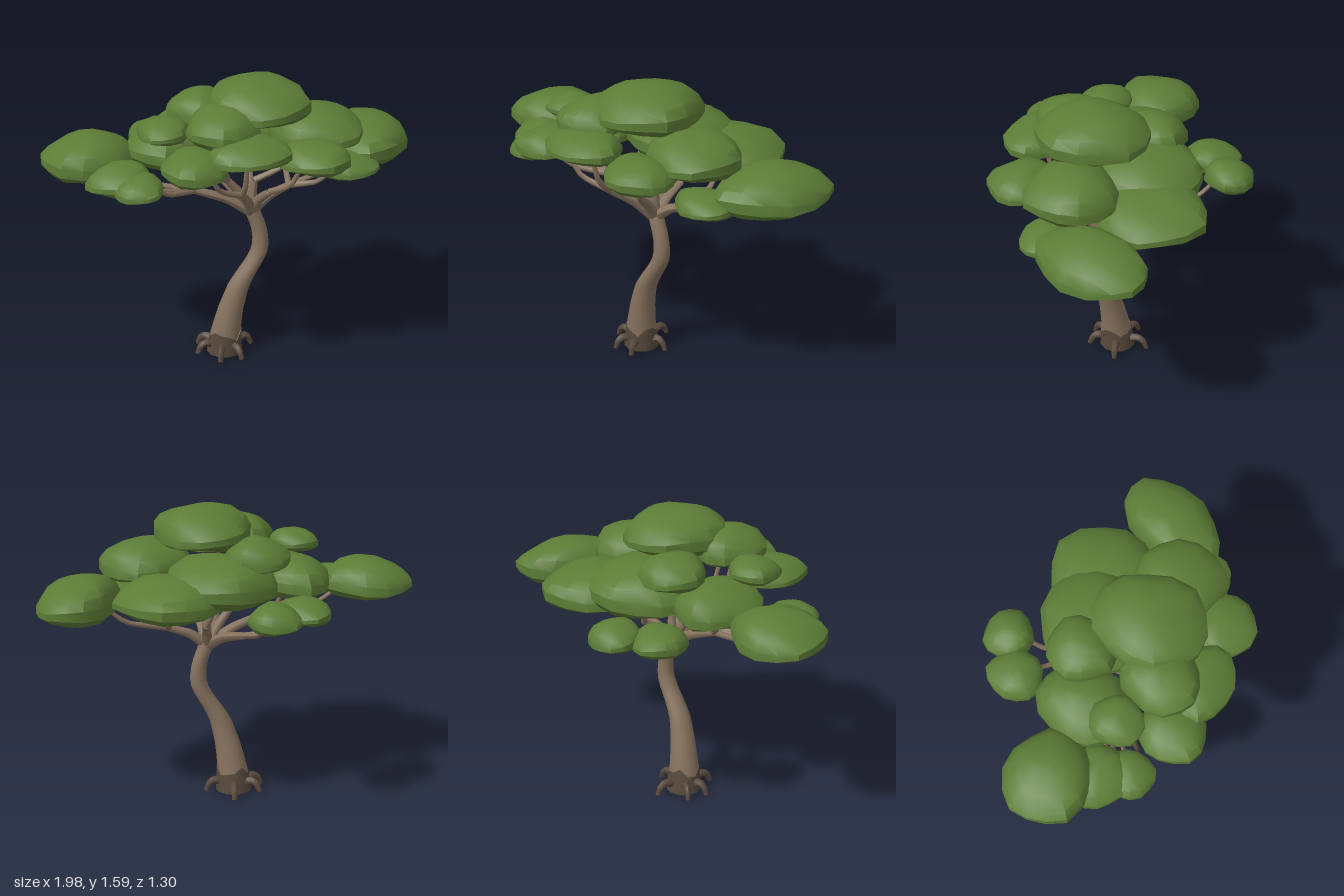
import * as THREE from 'three';
import { mergeVertices, toCreasedNormals } from 'three/addons/utils/BufferGeometryUtils.js';

const leafGreen = new THREE.MeshStandardMaterial({ color: 0x5c7c36 });
const barkBrown = new THREE.MeshStandardMaterial({ color: 0x87735f });
const rootBrown = new THREE.MeshStandardMaterial({ color: 0x57493c });
leafGreen.name = 'leafGreen';
barkBrown.name = 'barkBrown';
rootBrown.name = 'rootBrown';

const V = (x, y, z) => new THREE.Vector3(x, y, z);

// Trunk centre line and its thickness, both by height
const trunkLine = new THREE.CatmullRomCurve3([
  V(-0.05, 0, 0.05), V(-0.04, 0.15, 0.06), V(0.02, 0.4, 0.085),
  V(0.13, 0.6, 0.09), V(0.135, 0.7, 0.09), V(0.075, 0.89, 0.085),
]);
const trunkSamples = trunkLine.getSpacedPoints(120);
function trunkAt(y) {
  return trunkSamples.reduce((a, b) => (Math.abs(b.y - y) < Math.abs(a.y - y) ? b : a));
}
function trunkRadius(y) {
  return 0.042 + 0.053 * Math.pow(Math.max(0, 1 - y / 0.75), 1.5);
}

// Upright cylinder bent along the trunk line; its top edge may be ragged
function trunkPiece(name, height, rows, grow, ragged, material) {
  const g = new THREE.CylinderGeometry(1, 1, 1, 12, rows);
  const p = g.attributes.position;
  for (let i = 0; i < p.count; i++) {
    const x = p.getX(i), z = p.getZ(i), a = Math.atan2(z, x);
    const edge = ragged * (2 * Math.sin(3 * a + 1) + Math.sin(5 * a));
    const y = (p.getY(i) + 0.5) * (height + edge);
    const c = trunkAt(y), r = trunkRadius(y) + grow;
    p.setXYZ(i, c.x + x * r, y, c.z + z * r);
  }
  g.computeVertexNormals();
  const mesh = new THREE.Mesh(toCreasedNormals(g, 0.7), material);
  mesh.name = name;
  return mesh;
}

// Tube that tapers from r0 to r1
function taperedTube(name, points, r0, r1, material) {
  const curve = new THREE.CatmullRomCurve3(points, false, 'catmullrom', 0.25);
  const segs = (points.length - 1) * 4, sides = 7;
  const g = new THREE.TubeGeometry(curve, segs, 1, sides, false);
  const p = g.attributes.position, v = new THREE.Vector3();
  for (let i = 0; i < p.count; i++) {
    const t = Math.floor(i / (sides + 1)) / segs;
    const c = curve.getPointAt(t);
    v.fromBufferAttribute(p, i).sub(c).multiplyScalar(r0 + (r1 - r0) * t).add(c);
    p.setXYZ(i, v.x, v.y, v.z);
  }
  g.computeVertexNormals();
  const mesh = new THREE.Mesh(g, material);
  mesh.name = name;
  return mesh;
}

// Foliage pad: domed top leaning to the middle, low rim, flattened underside
function leafPad({ centre, size, turn }, seed) {
  let g = new THREE.SphereGeometry(1, 14, 9);
  g.deleteAttribute('uv');
  g.deleteAttribute('normal');
  g = mergeVertices(g, 1e-4);
  const p = g.attributes.position;
  for (let i = 0; i < p.count; i++) {
    const x = p.getX(i), y = p.getY(i), z = p.getZ(i);
    const a = Math.atan2(z, x);
    const wobble = 1 + 0.035 * Math.sin(3 * a + seed * 1.7) + 0.03 * Math.sin(5 * a + seed * 2.9);
    const bump = Math.hypot(x, z) * 0.06 * Math.sin(2 * a + seed * 2.3 + y * 3);
    const up = y > 0 ? y * 0.66 : -Math.pow(-y, 0.8) * 0.34;
    const lean = -0.05 * Math.max(0, y) ** 2;
    p.setXYZ(i, x * wobble * size.x / 2 + lean * centre.x, (up + bump) * size.y, z * wobble * size.z / 2 + lean * centre.z);
  }
  g.computeVertexNormals();
  const mesh = new THREE.Mesh(toCreasedNormals(g, 0.6), leafGreen);
  mesh.position.copy(centre);
  mesh.rotation.y = turn;
  mesh.name = 'leafPad';
  return mesh;
}

// One pad from its extents; the centre sits at the height of its rim
const pad = (x0, x1, z0, z1, y0, y1, turn = 0) => ({
  centre: V((x0 + x1) / 2, y0 + 0.34 * (y1 - y0), (z0 + z1) / 2),
  size: V(x1 - x0, y1 - y0, z1 - z0),
  turn,
});

// The crown pad rests on the others
const crownPad = pad(-0.16, 0.36, -0.16, 0.44, 1.36, 1.585);

// Each limb runs from the fork to a knee, then splits into one twig per pad
const limbs = [
  { name: 'leftLimb', knee: V(-0.22, 0.985, 0.1), pads: [
    pad(-1, -0.51, -0.23, 0.22, 1.1, 1.305),
    pad(-0.8, -0.46, 0.06, 0.36, 1.06, 1.22),
    pad(-0.68, -0.43, 0.2, 0.475, 1.07, 1.19),
    pad(-0.56, -0.14, -0.25, 0.24, 1.13, 1.34),
  ] },
  { name: 'rightLimb', knee: V(0.3, 0.945, 0.06), pads: [
    pad(0.57, 0.97, -0.35, 0.29, 1.05, 1.275, -0.46),
    pad(0.4, 0.73, 0.12, 0.38, 1.05, 1.17),
    pad(0.05, 0.62, -0.51, 0.05, 1.1, 1.3),
  ] },
  { name: 'backLimb', knee: V(-0.06, 0.97, -0.22), pads: [
    pad(-0.47, -0.2, -0.55, -0.25, 1.08, 1.21),
    pad(-0.29, -0.02, -0.66, -0.4, 1.08, 1.225),
  ] },
  { name: 'upperBackLimb', knee: V(0.12, 0.99, -0.08), pads: [
    pad(-0.24, 0.37, -0.43, 0.15, 1.13, 1.38),
  ] },
  { name: 'frontLimb', knee: V(-0.02, 1.02, 0.31), pads: [
    pad(-0.24, 0.18, 0.3, 0.65, 1.25, 1.39),
    pad(-0.47, -0.13, 0.28, 0.63, 1.19, 1.34),
  ] },
  { name: 'frontRightLimb', knee: V(0.14, 1, 0.25), pads: [
    pad(0.13, 0.5, 0.28, 0.62, 1.18, 1.33),
  ] },
  { name: 'upperRightLimb', knee: V(0.1, 1.01, 0.1), pads: [
    pad(0.17, 0.66, -0.08, 0.4, 1.2, 1.415),
  ] },
  { name: 'upperLeftLimb', knee: V(-0.05, 1.03, 0.12), pads: [
    pad(-0.31, 0.06, 0.1, 0.51, 1.31, 1.5),
    pad(-0.53, -0.27, 0.06, 0.34, 1.31, 1.43),
    pad(-0.31, 0.03, -0.3, 0.06, 1.28, 1.46),
  ] },
];
const fork = V(0.085, 0.83, 0.088);

// Limb steep near the fork, twigs flat at first and then rising into the pads
function makeLimb({ name, knee, pads }) {
  const group = new THREE.Group();
  group.name = name;
  const shoulder = fork.clone().lerp(knee, 0.45).add(V(0, 0.02, 0));
  group.add(taperedTube('limb', [fork, shoulder, knee], 0.033, 0.019, barkBrown));
  for (const { centre } of pads) {
    const tip = centre.clone().lerp(knee, 0.2).setY(centre.y);
    const elbow = knee.clone().lerp(tip, 0.6);
    elbow.y = knee.y + 0.3 * (tip.y - knee.y);
    group.add(taperedTube('twig', [knee, elbow, tip], 0.018, 0.009, barkBrown));
  }
  return group;
}

// Arched root leaving the trunk base at an angle from +x towards +z
function makeRoot(degrees, reach) {
  const a = THREE.MathUtils.degToRad(degrees);
  const at = (d, y) => V(-0.05 + Math.cos(a) * d * reach, y, 0.05 + Math.sin(a) * d * reach);
  return taperedTube('root', [at(0.4, 0.05), at(0.68, 0.064), at(0.85, 0.047), at(0.96, 0.006)], 0.026, 0.013, rootBrown);
}

export function createModel() {
  const tree = new THREE.Group();
  tree.name = 'tree';

  tree.add(trunkPiece('trunk', 0.88, 22, 0, 0, barkBrown));
  tree.add(trunkPiece('trunkBase', 0.115, 3, 0.004, 0.011, rootBrown));

  const roots = new THREE.Group();
  roots.name = 'roots';
  for (const degrees of [-8, 68, 112, 172, 215]) roots.add(makeRoot(degrees, 0.165));
  roots.add(makeRoot(278, 0.185));
  tree.add(roots);

  const branches = new THREE.Group();
  branches.name = 'branches';
  branches.add(...limbs.map(makeLimb));
  tree.add(branches);

  const canopy = new THREE.Group();
  canopy.name = 'canopy';
  canopy.add(...[crownPad, ...limbs.flatMap((limb) => limb.pads)].map(leafPad));
  tree.add(canopy);

  return tree;
}
